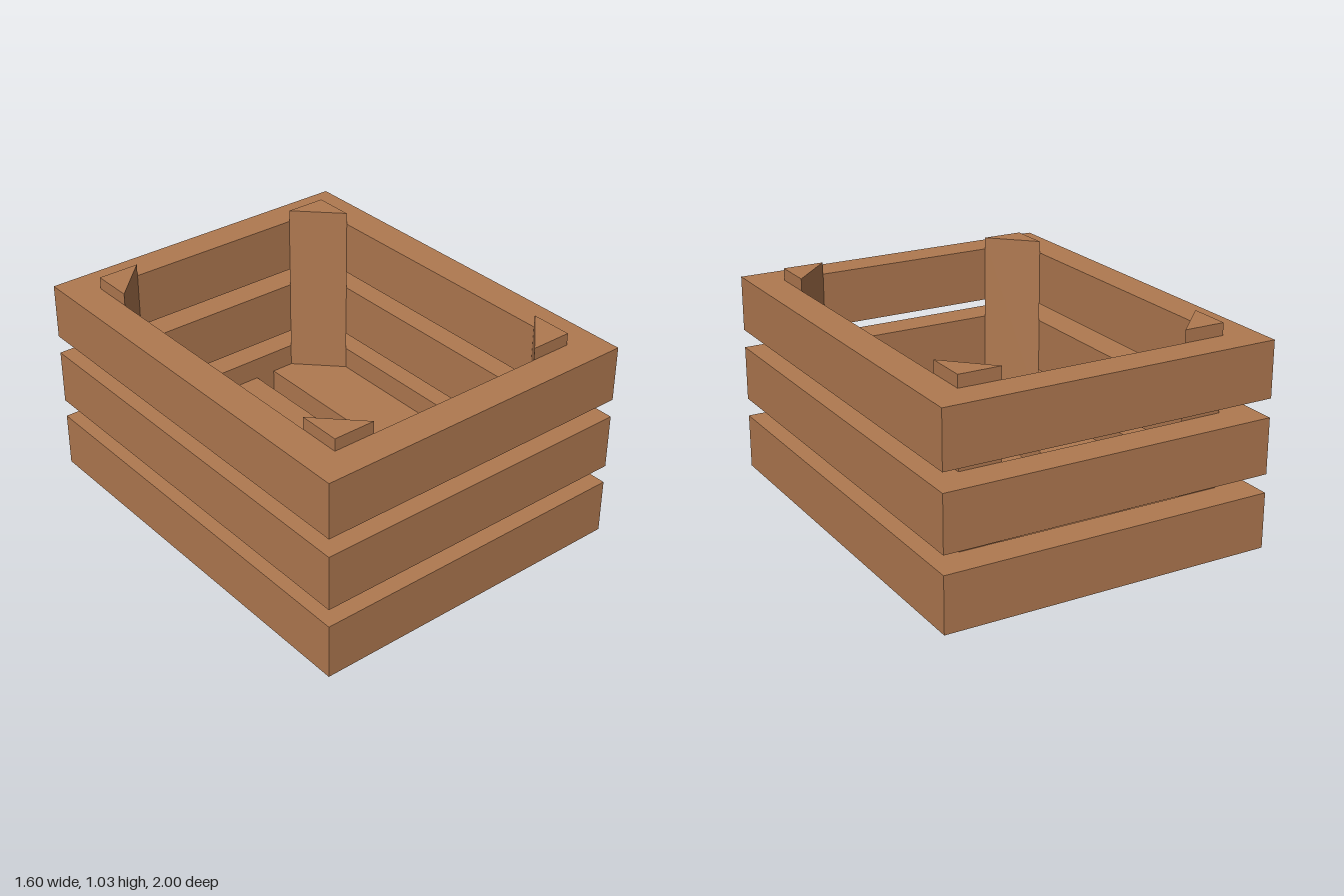
import * as THREE from 'three';

const W = 0.8, D = 1;          // outer half width and half depth
const IW = 0.645, ID = 0.845;  // inner half width and half depth
const FLOOR = 0.155;           // floor board thickness

// Vertical prism standing on y = 0 from a plan shape
function prism(shape, height) {
  const g = new THREE.ExtrudeGeometry(shape, { depth: height, bevelEnabled: false });
  return g.rotateX(-Math.PI / 2);
}

function rectangle(path, w, d) {
  path.moveTo(-w, -d);
  path.lineTo(w, -d);
  path.lineTo(w, d);
  path.lineTo(-w, d);
  path.closePath();
  return path;
}

export function createModel() {
  const wood = new THREE.MeshStandardMaterial({ color: 0xb07950 });
  wood.name = 'wood';
  const crate = new THREE.Group();
  crate.name = 'crate';

  const add = (name, geometry, x = 0, y = 0, z = 0) => {
    const mesh = new THREE.Mesh(geometry, wood);
    mesh.name = name;
    mesh.position.set(x, y, z);
    crate.add(mesh);
  };

  // Three stacked rectangular slat frames
  const frame = rectangle(new THREE.Shape(), W, D);
  frame.holes.push(rectangle(new THREE.Path(), IW, ID));
  const frameGeometry = prism(frame, 0.265);
  ['lowerFrame', 'middleFrame', 'upperFrame'].forEach((name, i) => {
    add(name, frameGeometry, 0, i * 0.3535, 0);
  });

  // Floor boards with two slots between them
  const boards = [['rightFloorBoard', -IW, -0.33], ['middleFloorBoard', -0.225, 0.225], ['leftFloorBoard', 0.33, IW]];
  for (const [name, x0, x1] of boards) {
    add(name, new THREE.BoxGeometry(x1 - x0, FLOOR, ID * 2), (x0 + x1) / 2, FLOOR / 2, 0);
  }

  // Triangular posts in the four inner corners
  for (const sx of [-1, 1]) {
    for (const sz of [-1, 1]) {
      const post = new THREE.Shape([
        new THREE.Vector2(0, 0),
        new THREE.Vector2(-sx * 0.2, 0),
        new THREE.Vector2(0, sz * 0.2),
      ]);
      const name = (sz > 0 ? 'front' : 'back') + (sx > 0 ? 'Left' : 'Right') + 'Post';
      add(name, prism(post, 1.03 - FLOOR), sx * IW, FLOOR, sz * ID);
    }
  }

  return crate;
}
